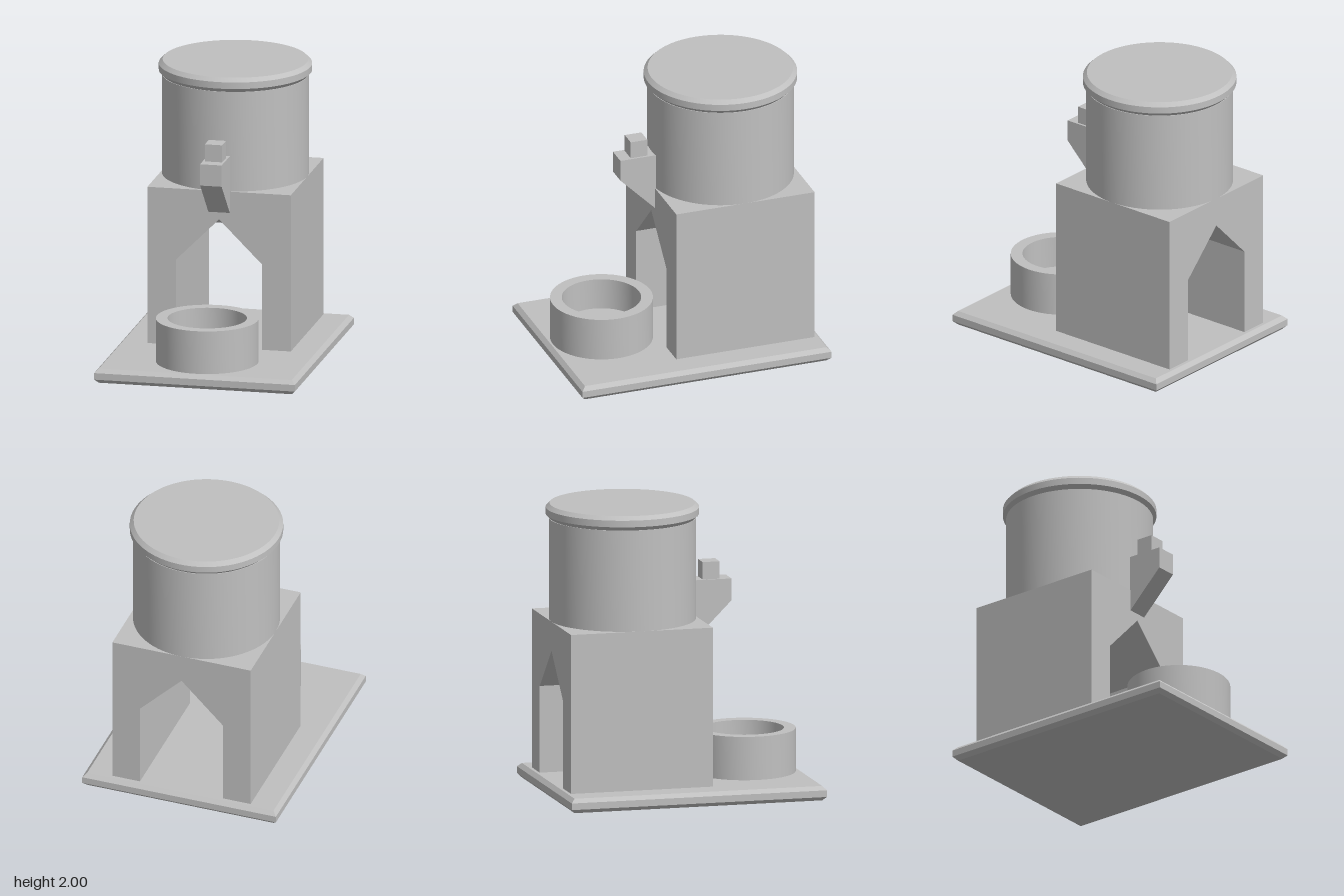
import * as THREE from 'three';
import { toCreasedNormals } from 'three/addons/utils/BufferGeometryUtils.js';

const points = (list) => list.map(([x, y]) => new THREE.Vector2(x, y));

// Flat-sided solid from an outline
function extrude(list, depth, bevel = 0) {
  return new THREE.ExtrudeGeometry(new THREE.Shape(points(list)), {
    depth, bevelEnabled: bevel > 0, bevelSize: bevel, bevelThickness: bevel, bevelSegments: 1,
  });
}

// Turned solid, smooth around and sharp along the profile
function turn(list) {
  return toCreasedNormals(new THREE.LatheGeometry(points(list), 96), 0.5);
}

export function createModel() {
  const group = new THREE.Group();
  group.name = 'dispenser';
  const grey = new THREE.MeshStandardMaterial({ color: 0xc0c0c0 });
  grey.name = 'grey';

  const add = (name, geometry, x = 0, y = 0, z = 0) => {
    const mesh = new THREE.Mesh(geometry, grey);
    mesh.name = name;
    mesh.position.set(x, y, z);
    group.add(mesh);
  };

  // Base plate with chamfered top and bottom edges
  const c = 0.027, w = 0.7 - c, d = 0.9 - c;
  const base = extrude([[-w, -d], [w, -d], [w, d], [-w, d]], 0.1 - 2 * c, c);
  base.rotateX(-Math.PI / 2);
  add('basePlate', base, 0, c, 0);

  // Block with a pointed passage running front to back
  add('standBlock', extrude([
    [-0.5, 0.1], [-0.3, 0.1], [-0.3, 0.7], [0, 1], [0.3, 0.7],
    [0.3, 0.1], [0.5, 0.1], [0.5, 1.2], [-0.5, 1.2],
  ], 1), 0, 0, -0.85);

  // Round tank and its chamfered lid
  const tankZ = -0.35;
  add('tank', turn([[0, 1.2], [0.5, 1.2], [0.5, 1.9], [0, 1.9]]), 0, 0, tankZ);
  const r = 0.522;
  add('lid', turn([
    [0, 1.9], [r - c, 1.9], [r, 1.9 + c], [r, 2 - c], [r - c, 2], [0, 2],
  ]), 0, 0, tankZ);

  // Spout with a sloping underside that reaches into the block
  const spout = extrude([[0.05, 0.95], [0.4, 1.3], [0.4, 1.45], [0.05, 1.45]], 0.15);
  spout.rotateY(-Math.PI / 2);
  add('spout', spout, 0.075, 0, 0);
  add('spoutKnob', new THREE.BoxGeometry(0.12, 0.12, 0.12), 0, 1.51, 0.26);

  // Bowl with a thick floor
  add('bowl', turn([
    [0, 0.1], [0.35, 0.1], [0.35, 0.4], [0.27, 0.4], [0.27, 0.18], [0, 0.18],
  ]), 0, 0, 0.51);

  return group;
}
